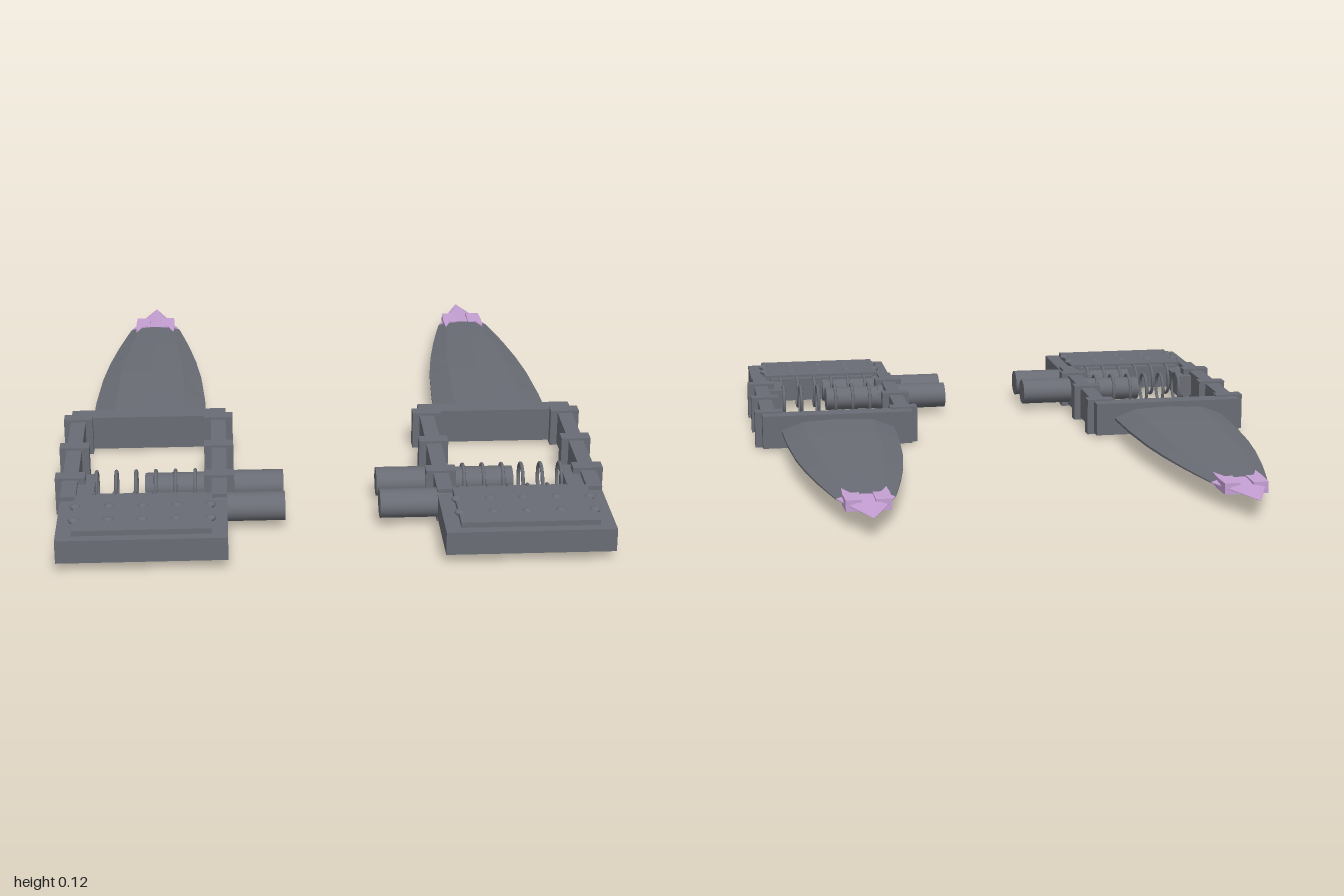
import * as THREE from 'three';

const steel = new THREE.MeshStandardMaterial({ color: 0x696c74 });
steel.name = 'steel grey';
const crystal = new THREE.MeshStandardMaterial({ color: 0xc49fd3 });
crystal.name = 'pale purple';

const CX = 0.555;  // centre line of one blade
const CY = 0.062;  // mid height

function add(group, name, geometry, material, x = 0, y = 0, z = 0) {
  const mesh = new THREE.Mesh(geometry, material);
  mesh.name = name;
  mesh.position.set(x, y, z);
  group.add(mesh);
  return mesh;
}

// Faceted loft through [z, half width, half height] stations
function bladeGeometry(stations) {
  const section = [[1, 0.12], [0.62, 0.85], [0, 1], [-0.62, 0.85], [-1, 0.12],
    [-1, -0.12], [-0.62, -0.85], [0, -1], [0.62, -0.85], [1, -0.12]];
  const n = section.length;
  const rings = stations.map(([z, w, h]) => section.map(([u, v]) => [u * w, v * h, z]));
  const pos = [];
  const tri = (a, b, c) => pos.push(...a, ...b, ...c);
  for (let i = 0; i < rings.length - 1; i++) {
    for (let j = 0; j < n; j++) {
      const k = (j + 1) % n;
      const a = rings[i][j], b = rings[i][k], c = rings[i + 1][k], d = rings[i + 1][j];
      tri(a, c, b);
      tri(a, d, c);
    }
  }
  for (let j = 1; j < n - 1; j++) tri(rings[0][0], rings[0][j], rings[0][j + 1]);
  const geometry = new THREE.BufferGeometry();
  geometry.setAttribute('position', new THREE.Float32BufferAttribute(pos, 3));
  geometry.computeVertexNormals();
  return geometry;
}

// Swept-back barb beside the tip, side = 1 or -1
function barbGeometry(side) {
  const outline = [[0.02, 0.86], [0.066, 0.86], [0.069, 0.79], [0.066, 0.72], [0.045, 0.775], [0.02, 0.775]];
  const shape = new THREE.Shape(outline.map(([x, z]) => new THREE.Vector2(side * x, z)));
  const geometry = new THREE.ExtrudeGeometry(shape, { depth: 0.034, bevelEnabled: false });
  geometry.rotateX(-Math.PI / 2);
  geometry.translate(0, -0.017, 0);
  return geometry;
}

function createUnit(s) {
  const unit = new THREE.Group();
  unit.name = s > 0 ? 'leftBlade' : 'rightBlade';
  const box = (name, x0, x1, y0, y1, z0, z1) => add(unit, name,
    new THREE.BoxGeometry(x1 - x0, y1 - y0, z1 - z0), steel,
    s * (x0 + x1) / 2, (y0 + y1) / 2, (z0 + z1) / 2);

  // Blade and coloured tip
  add(unit, 'blade', bladeGeometry([[0.1, 0.184, 0.037], [-0.1, 0.179, 0.035], [-0.3, 0.166, 0.031],
    [-0.45, 0.148, 0.027], [-0.6, 0.123, 0.022], [-0.7, 0.103, 0.018], [-0.78, 0.086, 0.014]]),
    steel, s * CX, CY, 0);
  add(unit, 'bladeTip', bladeGeometry([[-0.78, 0.086, 0.014], [-0.83, 0.066, 0.012],
    [-0.87, 0.052, 0.009], [-1, 0.001, 0.001]]), crystal, s * CX, CY, 0);
  for (const side of [-1, 1]) add(unit, 'tipBarb', barbGeometry(side), crystal, s * CX, CY, 0);

  // Rectangular frame with clamps around the rails
  box('crossbar', 0.31, 0.8, 0.008, 0.115, 0.085, 0.147);
  for (const x of [0.333, 0.777]) {
    box('rail', x - 0.023, x + 0.023, 0.01, 0.113, 0.1, 0.735);
    for (const z of [0.153, 0.375, 0.597]) {
      box('railClamp', x - 0.045, x + 0.045, 0.002, 0.12, z - 0.022, z + 0.022);
    }
  }

  // Grip plate with rivets
  box('basePlate', 0.31, 0.8, 0.03, 0.1, 0.73, 1);
  box('coverPlate', 0.355, 0.755, 0.09, 0.116, 0.73, 0.97);
  box('plateLip', 0.375, 0.735, 0.03, 0.108, 0.705, 0.74);
  for (let i = 0; i < 5; i++) {
    for (const z of [0.805, 0.895]) {
      const rivet = add(unit, 'rivet', new THREE.SphereGeometry(0.016, 12, 8), steel,
        s * (CX + (i - 2) * 0.098), 0.114, z);
      rivet.scale.y = 0.55;
    }
  }

  // Pistons, inner rods and spring rings
  box('springStop', 0.703, 0.757, 0.03, 0.1, 0.547, 0.735);
  const rod = (name, x0, x1, r, z) => {
    const geometry = new THREE.CylinderGeometry(r, r, x1 - x0, 24);
    geometry.rotateZ(Math.PI / 2);
    geometry.scale(1, 0.84, 1);
    add(unit, name, geometry, steel, s * (x0 + x1) / 2, 0.063, z);
  };
  for (const z of [0.56, 0.715]) {
    rod('piston', 0.14, 0.375, 0.05, z);
    rod('pistonRod', 0.375, 0.555, 0.046, z);
    for (let i = 0; i < 6; i++) {
      const ring = new THREE.TorusGeometry(0.052, 0.0055, 8, 28);
      ring.rotateY(Math.PI / 2);
      add(unit, 'springRing', ring, steel, s * (0.405 + i * 0.0592), 0.058, z + 0.003);
    }
  }
  return unit;
}

export function createModel() {
  const model = new THREE.Group();
  model.name = 'twinBlades';
  model.add(createUnit(1), createUnit(-1));
  return model;
}
